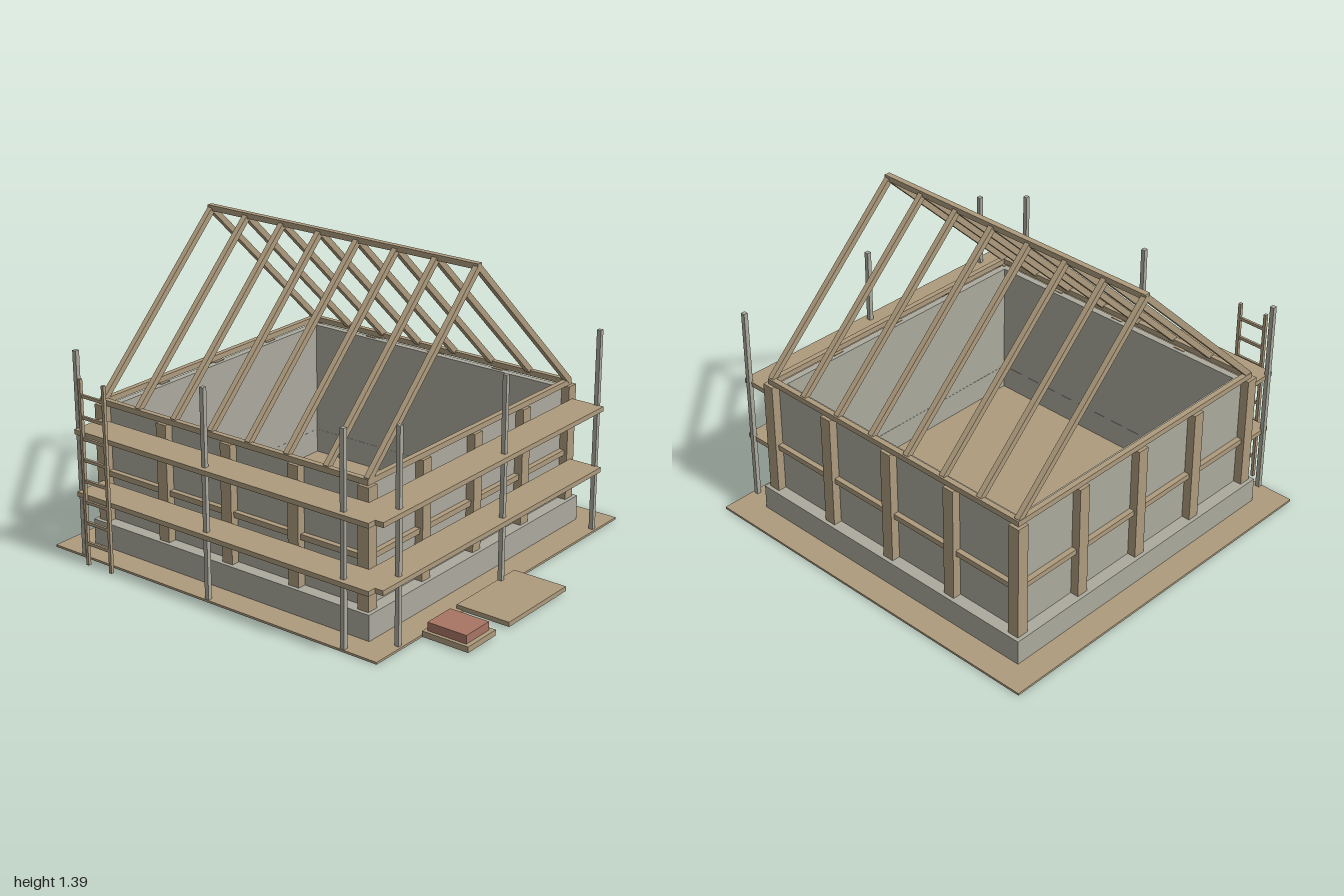
import * as THREE from 'three';

export function createModel() {
  const root = new THREE.Group();
  root.name = 'houseUnderConstruction';
  const mat = (name, color) => {
    const m = new THREE.MeshStandardMaterial({ color });
    m.name = name;
    return m;
  };
  const wood = mat('wood', 0xad9b7d);
  const grey = mat('concreteGrey', 0xacaa9e);
  const brick = mat('brickRed', 0xa87564);

  const group = (name) => {
    const g = new THREE.Group();
    g.name = name;
    root.add(g);
    return g;
  };
  // Box given by its limits on each axis
  const box = (parent, name, material, x0, x1, y0, y1, z0, z1) => {
    const m = new THREE.Mesh(new THREE.BoxGeometry(x1 - x0, y1 - y0, z1 - z0), material);
    m.position.set((x0 + x1) / 2, (y0 + y1) / 2, (z0 + z1) / 2);
    m.name = name;
    parent.add(m);
    return m;
  };

  // House centre and distance from it to the wall frame
  const cx = -0.12, cz = -0.025, half = 0.715;

  // Square ring between two half-widths, standing from y0 to y1
  const ring = (parent, name, material, outer, inner, y0, y1) => {
    const square = (target, r) => {
      target.moveTo(-r, -r);
      target.lineTo(r, -r);
      target.lineTo(r, r);
      target.lineTo(-r, r);
      target.closePath();
      return target;
    };
    const shape = square(new THREE.Shape(), outer);
    shape.holes.push(square(new THREE.Path(), inner));
    const geo = new THREE.ExtrudeGeometry(shape, { depth: y1 - y0, bevelEnabled: false });
    geo.rotateX(-Math.PI / 2);
    const m = new THREE.Mesh(geo, material);
    m.position.set(cx, y0, cz);
    m.name = name;
    parent.add(m);
  };

  // Ground, footing and walls
  box(root, 'ground', wood, -1, 0.77, 0, 0.01, -0.91, 0.855);
  ring(root, 'foundation', grey, 0.76, 0.67, 0.001, 0.125);
  ring(root, 'wallPanels', grey, 0.703, 0.671, 0.125, 0.657);

  // Timber frame: rails, top beams and five posts along each side
  const frame = group('timberFrame');
  ring(frame, 'middleRail', wood, half + 0.0125, half - 0.0125, 0.335, 0.36);
  ring(frame, 'topBeam', wood, half + 0.0125, half - 0.0125, 0.66, 0.685);
  for (let i = 0; i < 5; i++) {
    for (let j = 0; j < 5; j++) {
      if (i % 4 && j % 4) continue;
      const x = cx + (i / 2 - 1) * half, z = cz + (j / 2 - 1) * half;
      box(frame, 'post', wood, x - 0.0275, x + 0.0275, 0.125, 0.66, z - 0.0275, z + 0.0275);
    }
  }

  // Roof: ridge and eight pairs of rafters
  const roof = group('roofFrame');
  box(roof, 'ridgeBeam', wood, -0.845, 0.61, 1.362, 1.387, cz - 0.0135, cz + 0.0135);
  const rise = 0.69, length = Math.hypot(half, rise);
  for (let i = 0; i < 8; i++) {
    const x = -0.833 + (i * 1.43) / 7;
    for (const side of [-1, 1]) {
      const r = new THREE.Mesh(new THREE.BoxGeometry(0.025, 0.027, length), wood);
      r.position.set(x, 0.68 + rise / 2, cz + (side * half) / 2);
      r.rotation.x = side * Math.atan2(rise, half);
      r.name = 'rafter';
      roof.add(r);
    }
  }

  // Scaffold: two levels of planks on two sides, with poles
  const scaffold = group('scaffold');
  for (const y of [0.292, 0.578]) {
    box(scaffold, 'frontPlank', wood, -0.83, 0.745, y, y + 0.022, 0.718, 0.875);
    box(scaffold, 'sidePlank', wood, 0.625, 0.785, y, y + 0.022, -0.737, 0.835);
  }
  const poles = [[-0.832, 0.842], [-0.118, 0.842], [0.597, 0.842], [0.75, 0.69], [0.75, -0.025], [0.75, -0.74]];
  for (const [x, z] of poles) {
    box(scaffold, 'pole', grey, x - 0.01, x + 0.01, 0.005, 0.945, z - 0.01, z + 0.01);
  }

  // Ladder
  const ladder = group('ladder');
  for (const x of [-0.765, -0.629]) {
    box(ladder, 'ladderRail', wood, x, x + 0.014, 0, 0.85, 0.89, 0.905);
  }
  for (let i = 0; i < 8; i++) {
    const y = 0.102 + i * 0.0963;
    box(ladder, 'rung', wood, -0.752, -0.628, y - 0.007, y + 0.007, 0.892, 0.903);
  }

  // Building supplies beside the house
  const supplies = group('supplies');
  box(supplies, 'boardSheet', wood, 0.74, 1, 0.006, 0.027, -0.14, 0.28);
  box(supplies, 'pallet', wood, 0.775, 1, 0.006, 0.032, 0.375, 0.565);
  box(supplies, 'brickStack', brick, 0.79, 0.98, 0.032, 0.07, 0.395, 0.55);

  return root;
}
